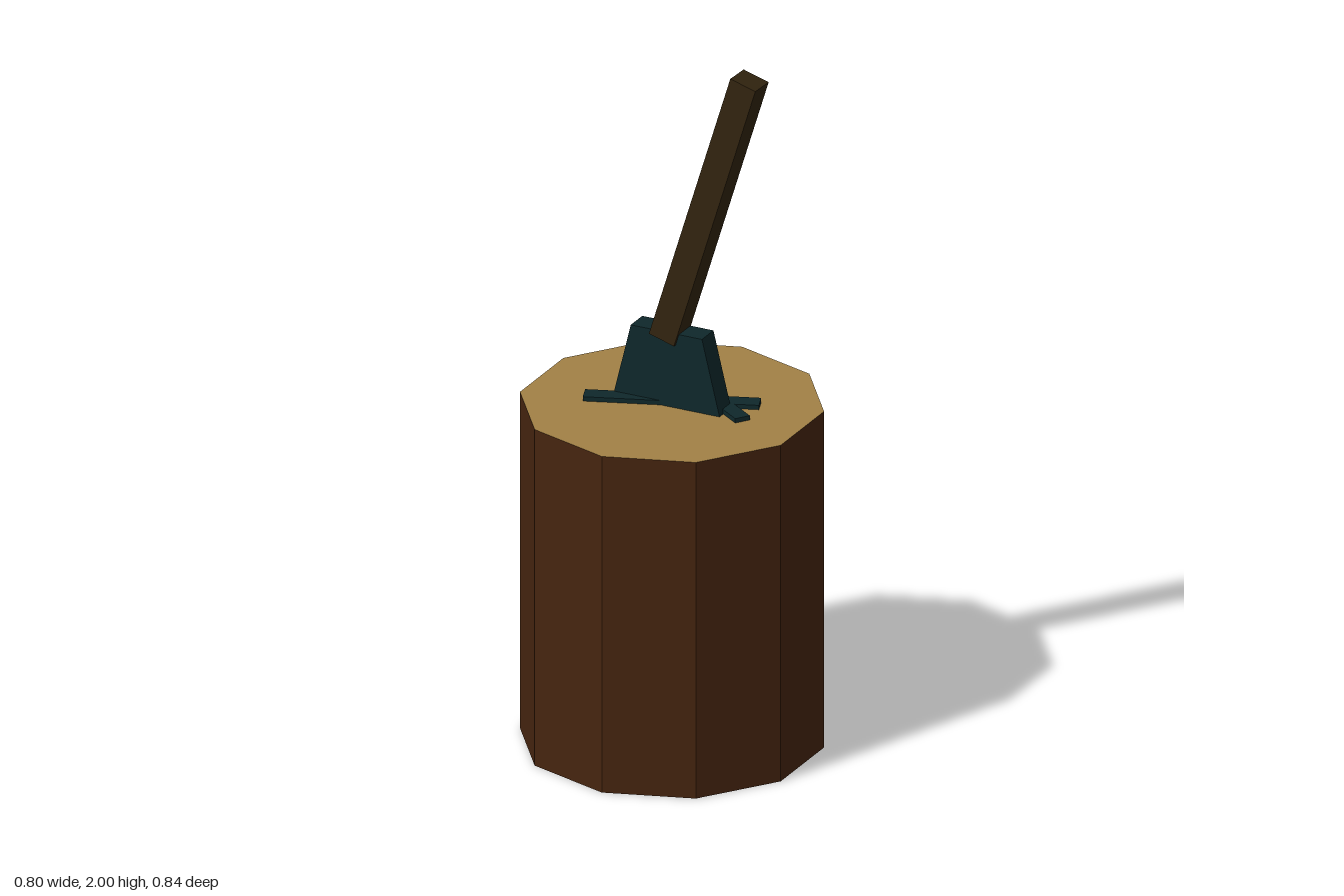
import * as THREE from 'three';

const mat = (name, color) => {
  const m = new THREE.MeshStandardMaterial({ color });
  m.name = name;
  m.flatShading = true;
  return m;
};

export function createModel() {
  const bark = mat('bark brown', 0x45240f);
  const cutWood = mat('cut wood tan', 0xa28146);
  const iron = mat('dark iron', 0x0f282b);
  const handleWood = mat('handle wood', 0x32240f);

  const model = new THREE.Group();
  const add = (name, geometry, material, x, y, z) => {
    const mesh = new THREE.Mesh(geometry, material);
    mesh.name = name;
    mesh.position.set(x, y, z);
    model.add(mesh);
    return mesh;
  };

  // Ten-sided stump with a pale sawn top
  add('stump', new THREE.CylinderGeometry(0.42, 0.42, 1, 10), [bark, cutWood, bark], 0, 0.5, 0);

  // Dark splits in the sawn top
  const splits = [
    { x: 0, z: 0, length: 0.484, width: 0.052, turn: 0.35 },
    { x: 0.088, z: -0.068, length: 0.353, width: 0.045, turn: -0.608 },
  ];
  for (const s of splits) {
    add('split', new THREE.BoxGeometry(s.length, 0.024, s.width), iron, s.x, 1.001, s.z).rotation.y = s.turn;
  }

  // Wedge-shaped axe head, wider where it meets the stump
  const profile = new THREE.Shape([
    new THREE.Vector2(-0.163, 1), new THREE.Vector2(0.163, 1),
    new THREE.Vector2(0.109, 1.22), new THREE.Vector2(-0.109, 1.22),
  ]);
  add('axeHead', new THREE.ExtrudeGeometry(profile, { depth: 0.069, bevelEnabled: false }), iron, 0, 0, -0.035);

  // Square handle leaning right and slightly back
  const foot = new THREE.Vector3(-0.01, 1.197, 0.004);
  const tip = new THREE.Vector3(0.222, 1.988, -0.03);
  const along = tip.clone().sub(foot);
  const mid = foot.clone().lerp(tip, 0.5);
  const handle = add('handle', new THREE.BoxGeometry(0.08, along.length(), 0.081), handleWood, mid.x, mid.y, mid.z);
  handle.quaternion.setFromUnitVectors(new THREE.Vector3(0, 1, 0), along.normalize());

  return model;
}
